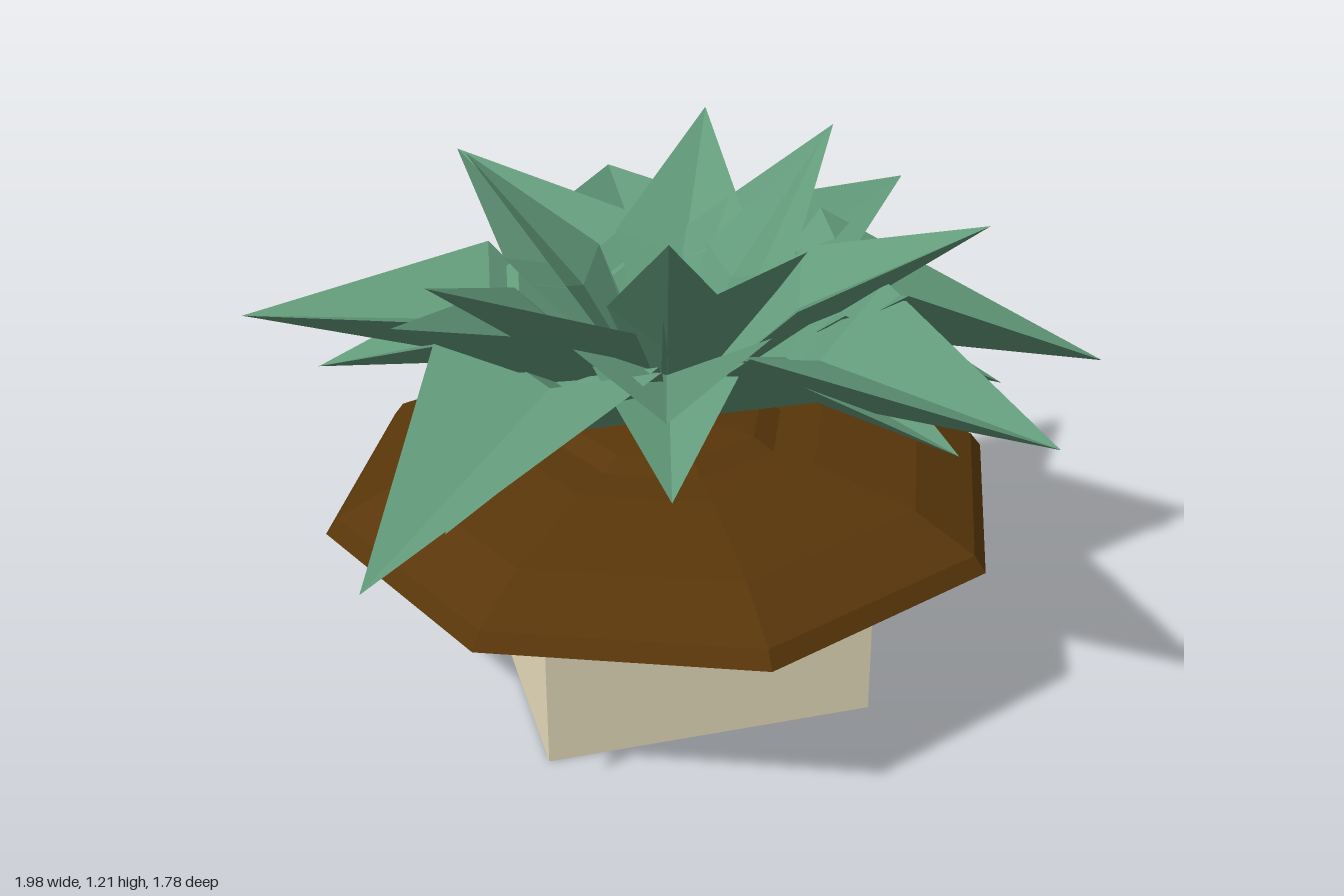
import * as THREE from 'three';

const CX = -0.09, CZ = 0.11; // plant axis

const cream = new THREE.MeshStandardMaterial({ color: 0xe7ddbd });
cream.name = 'cream pot';
const brown = new THREE.MeshStandardMaterial({ color: 0x59360a });
brown.name = 'brown soil';
const green = new THREE.MeshStandardMaterial({ color: 0x639b7b, side: THREE.DoubleSide });
green.name = 'leaf green';

function faceted(geometry) {
  const g = geometry.index ? geometry.toNonIndexed() : geometry;
  g.computeVertexNormals();
  return g;
}

// Pointed leaf: narrow root, wide arched middle, sunken crease above and a keel below
function leafGeometry(x, y, z) {
  const rootY = 0.63;
  const dx = x - CX, dz = z - CZ, len = Math.hypot(dx, dz);
  const ux = dx / len, uz = dz / len;
  const at = (t, side, h) => [CX + dx * t - uz * side, h, CZ + dz * t + ux * side];
  const half = 0.24 * len + 0.02;
  const arch = (0.6 - 0.44 * y) * (0.4 + 0.6 * len); // drooping leaves arch higher
  const edgeY = (rootY + y) / 2 + arch;
  const creaseY = edgeY - half * 0.38;
  const keelY = creaseY - 0.02 - 0.08 * len;
  const tip = [x, y, z];
  const pos = [];
  const addSheet = (rootMid, midY) => {
    const a = [at(0.04, -0.03, rootY + 0.02), at(0.04, 0, rootMid), at(0.04, 0.03, rootY + 0.02)];
    const b = [at(0.42, -half, edgeY), at(0.42, 0, midY), at(0.42, half, edgeY)];
    for (let i = 0; i < 2; i++) {
      pos.push(...a[i], ...a[i + 1], ...b[i + 1], ...a[i], ...b[i + 1], ...b[i]);
      pos.push(...b[i], ...b[i + 1], ...tip);
    }
  };
  addSheet(rootY, creaseY);
  addSheet(rootY - 0.01, keelY);
  const g = new THREE.BufferGeometry();
  g.setAttribute('position', new THREE.Float32BufferAttribute(pos, 3));
  return faceted(g);
}

export function createModel() {
  const group = new THREE.Group();
  const add = (name, geometry, material, parent = group) => {
    const mesh = new THREE.Mesh(geometry, material);
    mesh.name = name;
    parent.add(mesh);
    return mesh;
  };

  // Square pot
  add('pot', new THREE.BoxGeometry(0.74, 0.47, 0.74), cream).position.set(CX, 0.235, CZ);

  // Eight-sided soil mound overhanging the pot, with a small raised cap
  const profile = [[0, 0.5], [0.3, 0.5], [0.54, 0.475], [0.777, 0.43], [0.75, 0.465],
    [0.61, 0.535], [0.37, 0.588], [0.27, 0.592], [0.22, 0.615], [0.12, 0.63], [0, 0.633]]
    .map(([r, y]) => new THREE.Vector2(r, y));
  add('soilMound', faceted(new THREE.LatheGeometry(profile, 8)), brown).position.set(CX, 0, CZ);

  // Leaf tips, layer by layer
  const layers = {
    lowerLeaves: [[0.72, 0.6, 0.13], [0.4, 0.575, 0.11], [-0.84, 0.77, -0.03], [-0.67, 0.67, 0.6],
      [0.38, 0.72, 0.66], [-0.25, 0.75, 0.74], [-0.01, 0.73, -0.63], [-0.04, 0.67, -0.33],
      [0.45, 0.8, -0.24], [-0.36, 0.8, -0.42]],
    outerLeaves: [[0.99, 0.615, 0.11], [0, 0.76, -0.89], [0.64, 0.96, -0.35], [0.49, 0.83, 0.88],
      [-0.3, 1.0, 0.89], [-0.86, 0.69, 0.81], [-0.99, 0.9, -0.05], [0, 0.9, -0.8]],
    upperLeaves: [[-0.43, 1.06, -0.56], [0.56, 1.09, 0.35], [-0.74, 1.09, 0.54],
      [-0.66, 1.13, 0.46], [0.15, 1.16, -0.41], [0.4, 1.16, -0.2]],
    crownLeaves: [[0.29, 1.21, 0.03], [0.06, 1.18, 0.6], [-0.2, 1.2, 0.54], [-0.48, 1.2, -0.11]],
  };
  for (const [name, tips] of Object.entries(layers)) {
    const layer = new THREE.Group();
    layer.name = name;
    group.add(layer);
    for (const tip of tips) add('leaf', leafGeometry(...tip), green, layer);
  }
  return group;
}
